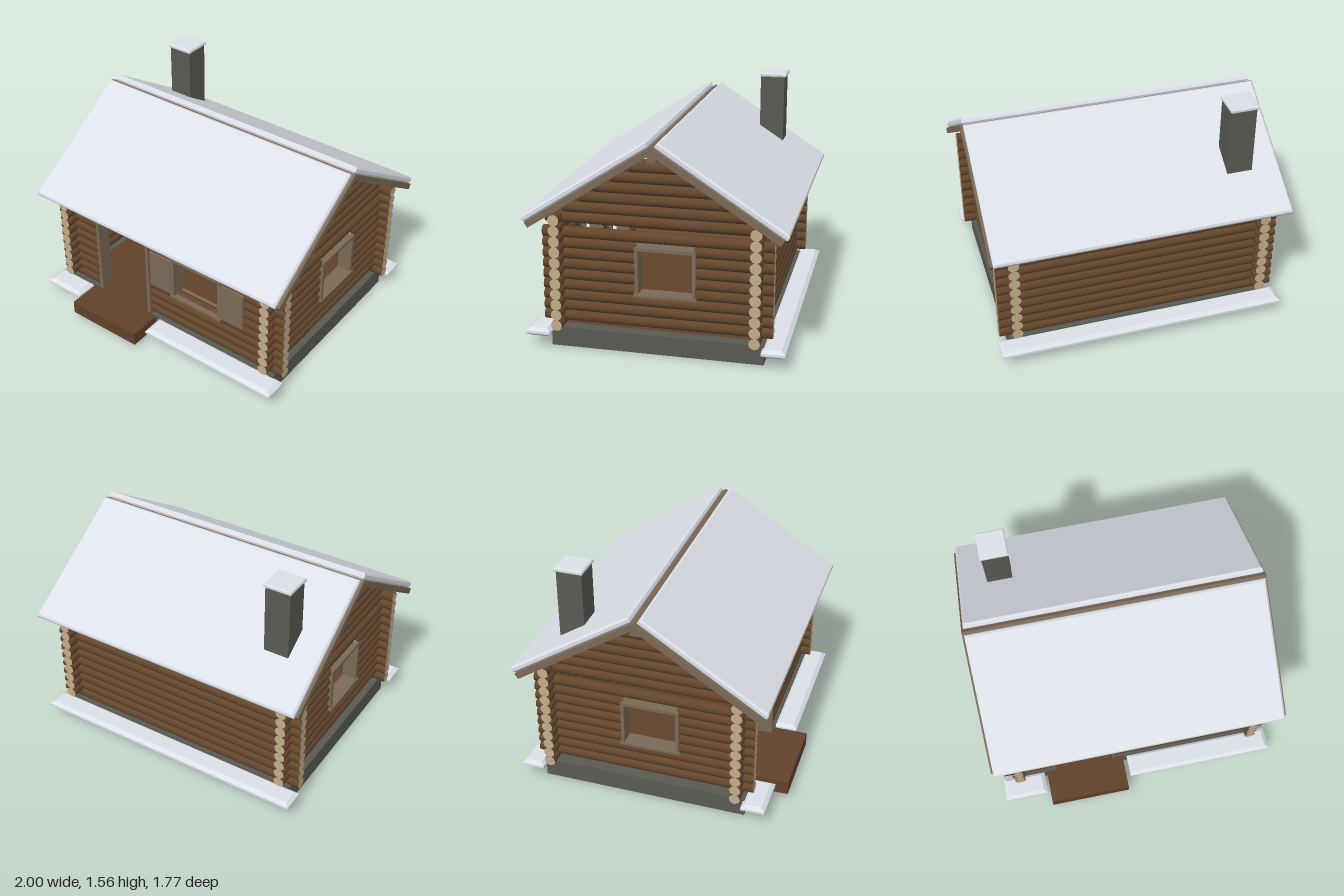
import * as THREE from 'three';

const mat = (name, color) => {
  const m = new THREE.MeshStandardMaterial({ color });
  m.name = name;
  return m;
};

export function createModel() {
  const log = mat('log brown', 0x63462d);
  const logEnd = mat('cut log end', 0xc4ad8c);
  const trim = mat('weathered trim', 0x7a6956);
  const boards = mat('floor boards', 0x60422b);
  const stone = mat('dark stone', 0x585a52);
  const snow = mat('snow', 0xe2e6ee);

  const model = new THREE.Group();
  model.name = 'logCabin';
  const ZC = -0.0425; // ridge line
  const FRONT = 0.597, BACK = -0.682, SIDE = 0.845;
  const R = 0.0365, PITCH = 0.0706;

  const group = (name, parent = model) => {
    const g = new THREE.Group();
    g.name = name;
    parent.add(g);
    return g;
  };
  const add = (parent, name, geo, material) => {
    const m = new THREE.Mesh(geo, material);
    m.name = name;
    parent.add(m);
    return m;
  };
  // box given by its limits on each axis
  const box = (parent, name, material, [x0, x1], [y0, y1], [z0, z1]) => {
    const m = add(parent, name, new THREE.BoxGeometry(x1 - x0, y1 - y0, z1 - z0), material);
    m.position.set((x0 + x1) / 2, (y0 + y1) / 2, (z0 + z1) / 2);
    return m;
  };
  // chamfered slab given by its limits
  const slab = (parent, name, [x0, x1], [y0, y1], [z0, z1], size, thick) => {
    const w = (x1 - x0) / 2 - size, d = (z1 - z0) / 2 - size;
    const s = new THREE.Shape([[-w, -d], [w, -d], [w, d], [-w, d]].map(p => new THREE.Vector2(...p)));
    const geo = new THREE.ExtrudeGeometry(s, {
      depth: y1 - y0 - 2 * thick, bevelEnabled: true, bevelSegments: 1, bevelSize: size, bevelThickness: thick,
    });
    geo.rotateX(-Math.PI / 2);
    const m = add(parent, name, geo, snow);
    m.position.set((x0 + x1) / 2, y0 + thick, (z0 + z1) / 2);
  };
  // log lying along x or z, from a to b
  const addLog = (parent, axis, a, b, y, side, cap = logEnd) => {
    const geo = new THREE.CylinderGeometry(R, R, b - a, 16);
    if (axis === 'x') geo.rotateZ(Math.PI / 2);
    else geo.rotateX(Math.PI / 2);
    const m = add(parent, 'log', geo, [log, cap, cap]);
    const mid = (a + b) / 2;
    m.position.set(axis === 'x' ? mid : side, y, axis === 'x' ? side : mid);
  };
  // stacked logs, cut wherever an opening {a, b, y0, y1} crosses them
  const wall = (name, axis, a, b, side, y0, count, openings = []) => {
    const g = group(name);
    for (let i = 0; i < count; i++) {
      const y = y0 + i * PITCH;
      let start = a;
      for (const o of openings) {
        if (y < o.y0 || y > o.y1) continue;
        addLog(g, axis, start, o.a, y, side);
        start = o.b;
      }
      addLog(g, axis, start, b, y, side);
    }
  };

  // Foundation ring, open under the door
  const base = group('foundation');
  const H = [0, 0.13];
  box(base, 'backFooting', stone, [-0.9, 0.895], H, [-0.735, -0.655]);
  for (const s of [-1, 1]) {
    const xs = s < 0 ? [-0.9, -0.82] : [0.815, 0.895];
    box(base, 'sideFooting', stone, xs, H, [-0.655, 0.57]);
  }
  box(base, 'frontFooting', stone, [-0.9, -0.6], H, [0.57, 0.65]);
  box(base, 'frontFooting', stone, [-0.13, 0.895], H, [0.57, 0.65]);
  box(model, 'floor', boards, [-0.82, 0.815], [0.09, 0.128], [-0.655, 0.57]);
  box(model, 'threshold', boards, [-0.6, -0.13], [0.09, 0.128], [0.57, 0.65]);
  box(model, 'doorStep', boards, [-0.65, -0.09], [0.03, 0.125], [0.65, 0.88]);

  // Snow lying along the foundation
  const drifts = group('snowDrifts');
  const driftY = [0.077, 0.133];
  slab(drifts, 'frontDrift', [-0.97, -0.67], driftY, [0.64, 0.8], 0.026, 0.02);
  slab(drifts, 'frontDrift', [-0.06, 0.97], driftY, [0.64, 0.8], 0.026, 0.02);
  slab(drifts, 'backDrift', [-0.97, 0.97], driftY, [-0.88, -0.725], 0.026, 0.02);

  // Log walls; side courses sit half a log higher
  const win = (a, b) => ({ a, b, y0: 0.385, y1: 0.71 });
  wall('frontWall', 'x', -0.955, 0.955, FRONT, 0.163, 11,
    [{ a: -0.585, b: -0.155, y0: 0, y1: 0.755 }, win(0.075, 0.45)]);
  wall('backWall', 'x', -0.955, 0.955, BACK, 0.163, 11);
  wall('rightSideWall', 'z', -0.785, 0.7, -SIDE, 0.202, 9, [win(-0.17, 0.19)]);
  wall('leftSideWall', 'z', -0.785, 0.7, SIDE, 0.202, 9, [win(-0.285, 0.08)]);

  // Stepped gables
  for (const s of [-1, 1]) {
    const g = group('gable');
    [0.72, 0.605, 0.4975, 0.3925, 0.28, 0.17].forEach((h, i) =>
      addLog(g, 'z', ZC - h, ZC + h, 0.867 + i * PITCH, s * SIDE, log));
  }

  // Frames, built facing +z around their own middle
  const frame = (name, w, y0, y1, sill) => {
    const g = group(name), h = w / 2, t = 0.022, d = [-0.05, 0.05];
    for (const s of [-1, 1]) {
      const x = s * (h - t / 2);
      box(g, 'jamb', trim, [x - t / 2, x + t / 2], [y0, y1 - t], d);
    }
    box(g, 'lintel', trim, [-h, h], [y1 - t, y1], d);
    if (sill) box(g, 'sill', trim, [-h - 0.008, h + 0.008], [y0, y0 + 0.016], [-0.05, 0.06]);
    return g;
  };
  frame('doorFrame', 0.46, 0.128, 0.755, false).position.set(-0.37, 0, FRONT);
  frame('frontWindowFrame', 0.405, 0.385, 0.71, true).position.set(0.2625, 0, FRONT);
  for (const [s, z] of [[1, -0.103], [-1, 0.01]]) {
    const f = frame('sideWindowFrame', 0.39, 0.385, 0.71, true);
    f.position.set(s * SIDE, 0, z);
    f.rotation.y = s * Math.PI / 2;
  }
  box(model, 'shutter', trim, [-0.122, 0.058], [0.405, 0.68], [0.632, 0.648]);
  box(model, 'shutter', trim, [0.467, 0.647], [0.405, 0.68], [0.632, 0.648]);

  // Roof: two boarded slopes carrying snow
  const A = 0.574, L = 0.968;
  for (const turn of [0, Math.PI]) {
    const half = group('roofHalf');
    half.position.set(0, 1.385, ZC);
    half.rotation.y = turn;
    const slope = group('slope', half);
    slope.rotation.x = A;
    box(slope, 'roofBoards', trim, [-1, 1], [-0.04, 0], [0, L]);
    slab(slope, 'roofSnow', [-0.985, 0.985], [0, 0.045], [0.018, L + 0.015], 0.012, 0.012);
  }
  box(model, 'ridgeBeam', trim, [-0.97, 0.97], [1.28, 1.345], [ZC - 0.028, ZC + 0.028]);

  // Chimney, stove pipe and stove
  box(model, 'chimney', stone, [-0.79, -0.62], [1.0, 1.535], [-0.615, -0.445]);
  slab(model, 'chimneySnow', [-0.8, -0.612], [1.53, 1.56], [-0.627, -0.437], 0.008, 0.008);
  const pipe = add(model, 'stovePipe', new THREE.CylinderGeometry(0.018, 0.018, 0.68, 12), stone);
  pipe.position.set(-0.705, 0.68, -0.53);
  box(model, 'stove', stone, [-0.78, -0.63], [0.128, 0.35], [-0.61, -0.45]);

  // Small shelf with a cup on the back wall
  box(model, 'shelf', trim, [0.08, 0.17], [0.565, 0.573], [-0.65, -0.56]);
  const cup = add(model, 'cup', new THREE.CylinderGeometry(0.014, 0.012, 0.05, 12), logEnd);
  cup.position.set(0.125, 0.598, -0.6);

  return model;
}
